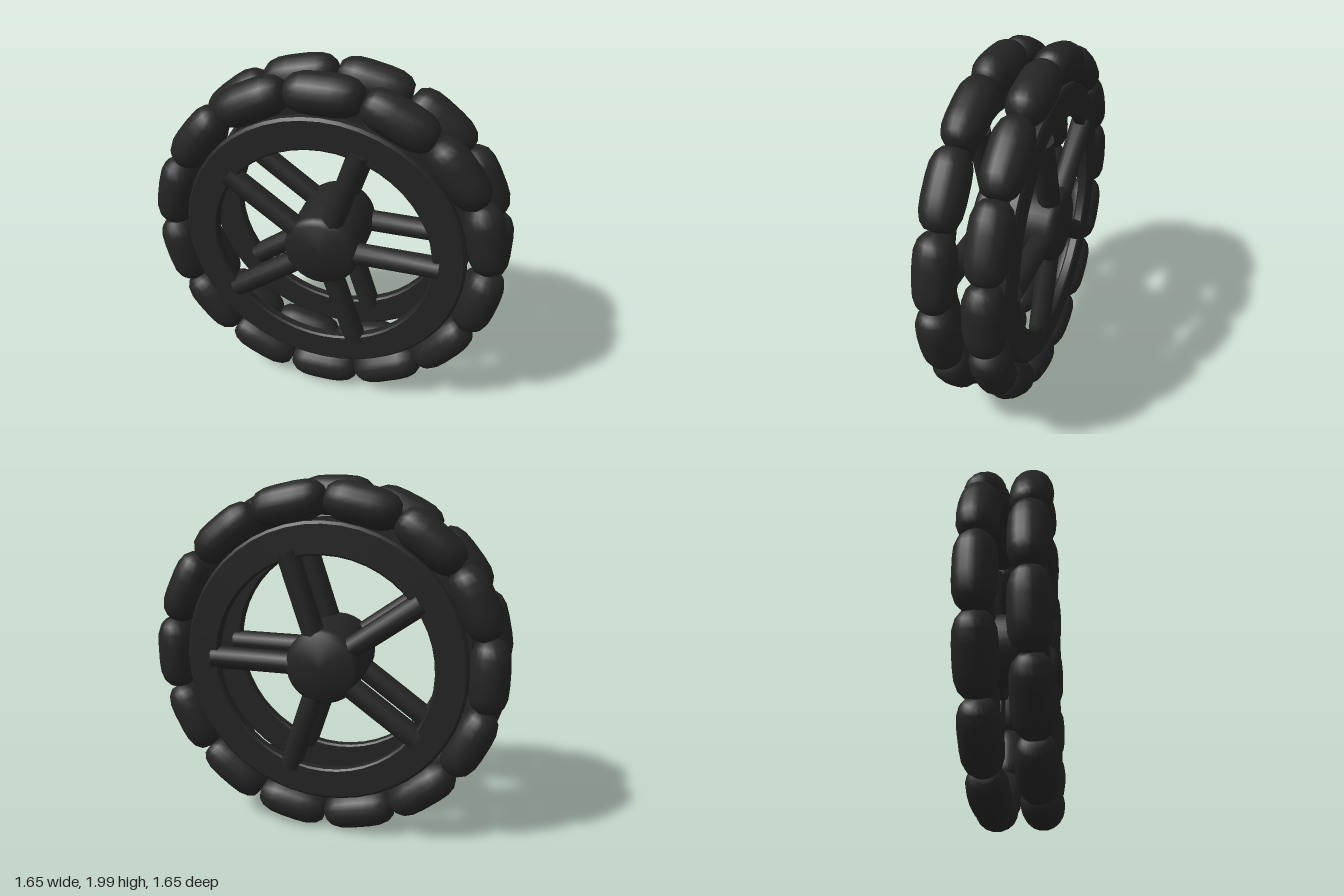
import * as THREE from 'three';
import { toCreasedNormals } from 'three/addons/utils/BufferGeometryUtils.js';

const PADS = 14, SPOKES = 5;
const rubber = new THREE.MeshStandardMaterial({ color: 0x242424 });
rubber.name = 'charcoal';

// Lathe from [radius, height] pairs, with crisp edges
function turned(points, segments, crease) {
  const geo = new THREE.LatheGeometry(points.map(([r, h]) => new THREE.Vector2(r, h)), segments);
  return toCreasedNormals(geo, crease);
}

function part(name, geo, parent) {
  const mesh = new THREE.Mesh(geo, rubber);
  mesh.name = name;
  parent.add(mesh);
  return mesh;
}

// Rounded barrel for one tread pad, lying along its local y
const half = [[0.11, 0.05], [0.105, 0.115], [0.088, 0.165], [0.06, 0.195], [0, 0.203]];
const padGeo = turned(
  [...half.map(([r, h]) => [r, -h]).reverse(), ...half], 18, 0.9);

// Flat ring with small bevels, axis along z
const rimGeo = turned([
  [0.62, -0.03], [0.775, -0.03], [0.79, -0.018], [0.79, 0.018], [0.775, 0.03],
  [0.62, 0.03], [0.61, 0.02], [0.61, -0.02], [0.62, -0.03],
], 48, 0.6).rotateX(Math.PI / 2);

const spokeGeo = toCreasedNormals(new THREE.CylinderGeometry(0.063, 0.063, 0.6, 10), 0.7)
  .translate(0, 0.35, 0);

// side: +1 for the front wheel, -1 for the rear one
function makeWheel(name, side, padPhase) {
  const wheel = new THREE.Group();
  wheel.name = name;
  part('rim', rimGeo, wheel).position.z = side * 0.175;
  for (let i = 0; i < SPOKES; i++) {
    const spoke = part('spoke', spokeGeo, wheel);
    spoke.position.z = side * 0.17;
    spoke.rotation.z = (i / SPOKES) * Math.PI * 2 - Math.PI / 2;
  }
  for (let i = 0; i < PADS; i++) {
    const a = ((i + padPhase) / PADS) * Math.PI * 2;
    const pad = part('treadPad', padGeo, wheel);
    pad.position.set(0.888 * Math.cos(a), 0.888 * Math.sin(a), side * 0.127);
    pad.rotation.z = a;
  }
  return wheel;
}

export function createModel() {
  const model = new THREE.Group();
  model.name = 'twinWheel';

  const assembly = new THREE.Group();
  assembly.name = 'wheelAssembly';
  assembly.position.y = 1;
  assembly.rotation.y = -Math.PI / 4;
  model.add(assembly);

  // Pads of the two wheels are staggered by half a step
  assembly.add(makeWheel('frontWheel', 1, 0.5), makeWheel('rearWheel', -1, 0));

  // Shared hub with bevelled ends
  const hubGeo = turned([
    [0, -0.24], [0.175, -0.24], [0.2, -0.222], [0.21, -0.195],
    [0.21, 0.195], [0.2, 0.222], [0.175, 0.24], [0, 0.24],
  ], 32, 0.7).rotateX(Math.PI / 2);
  part('hub', hubGeo, assembly);

  return model;
}
